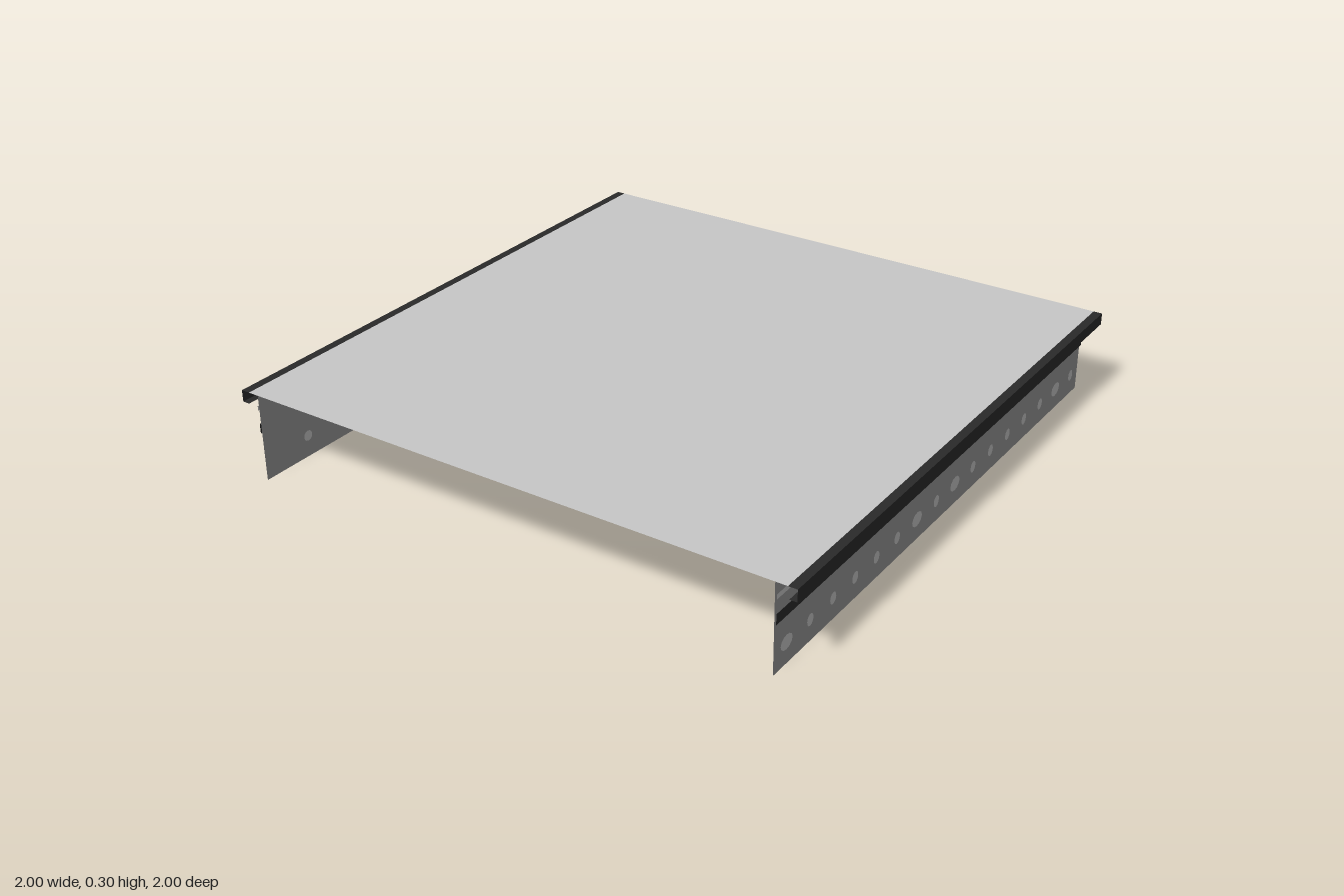
import * as THREE from 'three';

const mat = (name, color) => {
  const m = new THREE.MeshStandardMaterial({ color, side: THREE.DoubleSide });
  m.name = name;
  return m;
};

export function createModel() {
  const lightGrey = mat('lightGrey', 0xc8c8c8);
  const midGrey = mat('midGrey', 0x989898);
  const darkTrim = mat('darkTrim', 0x2a2a2a);

  const model = new THREE.Group();
  model.name = 'slidingShelf';

  // Thin sheet running the full depth between two points of the cross-section
  function sheet(name, x0, y0, x1, y1, material, parent) {
    const g = new THREE.PlaneGeometry(Math.hypot(x1 - x0, y1 - y0), 2);
    g.rotateX(-Math.PI / 2);
    g.rotateZ(Math.atan2(y1 - y0, x1 - x0));
    const mesh = new THREE.Mesh(g, material);
    mesh.position.set((x0 + x1) / 2, (y0 + y1) / 2, 0);
    mesh.name = name;
    parent.add(mesh);
  }

  // Flat oval fastener on a side wall
  function fastener(x, y, z, halfLength, halfHeight, parent) {
    const g = new THREE.CircleGeometry(1, 12);
    g.scale(halfLength, halfHeight, 1);
    g.rotateY(Math.PI / 2);
    const mesh = new THREE.Mesh(g, lightGrey);
    mesh.position.set(x, y, z);
    mesh.name = 'fastener';
    parent.add(mesh);
  }

  sheet('topPanel', -0.97, 0.3, 0.97, 0.3, lightGrey, model);

  const wallX = 0.932;
  const gap = 0.003;

  // The two sides are the same assembly turned half a circle
  for (const [name, turn] of [['leftSide', 0], ['rightSide', Math.PI]]) {
    const side = new THREE.Group();
    side.name = name;
    side.rotation.y = turn;
    model.add(side);

    sheet('sideWall', wallX, 0, wallX, 0.299, midGrey, side);
    sheet('runnerStripe', wallX + 0.006, 0.165, wallX + 0.006, 0.2, darkTrim, side);
    sheet('upperStrip', wallX + 0.006, 0.246, wallX + 0.006, 0.262, lightGrey, side);

    // Edge trim: top, outer lip and narrow return
    sheet('trimTop', 0.97, 0.3, 1, 0.3, darkTrim, side);
    sheet('trimLip', 1, 0.26, 1, 0.3, darkTrim, side);
    sheet('trimReturn', 0.975, 0.26, 1, 0.26, darkTrim, side);

    // Row of fasteners, the large ones also in a second row on the inside
    for (let i = 0; i < 16; i++) {
      const z = 0.9375 - i * 0.125;
      const large = [0, 6, 8, 14].includes(i);
      const a = large ? 0.031 : 0.017;
      const b = large ? 0.024 : 0.02;
      fastener(wallX + gap, 0.075, z, a, b, side);
      if (large) {
        fastener(wallX - gap, 0.075, z, 0.018, 0.018, side);
        fastener(wallX - gap, 0.185, z, 0.018, 0.018, side);
      }
    }
  }

  return model;
}
